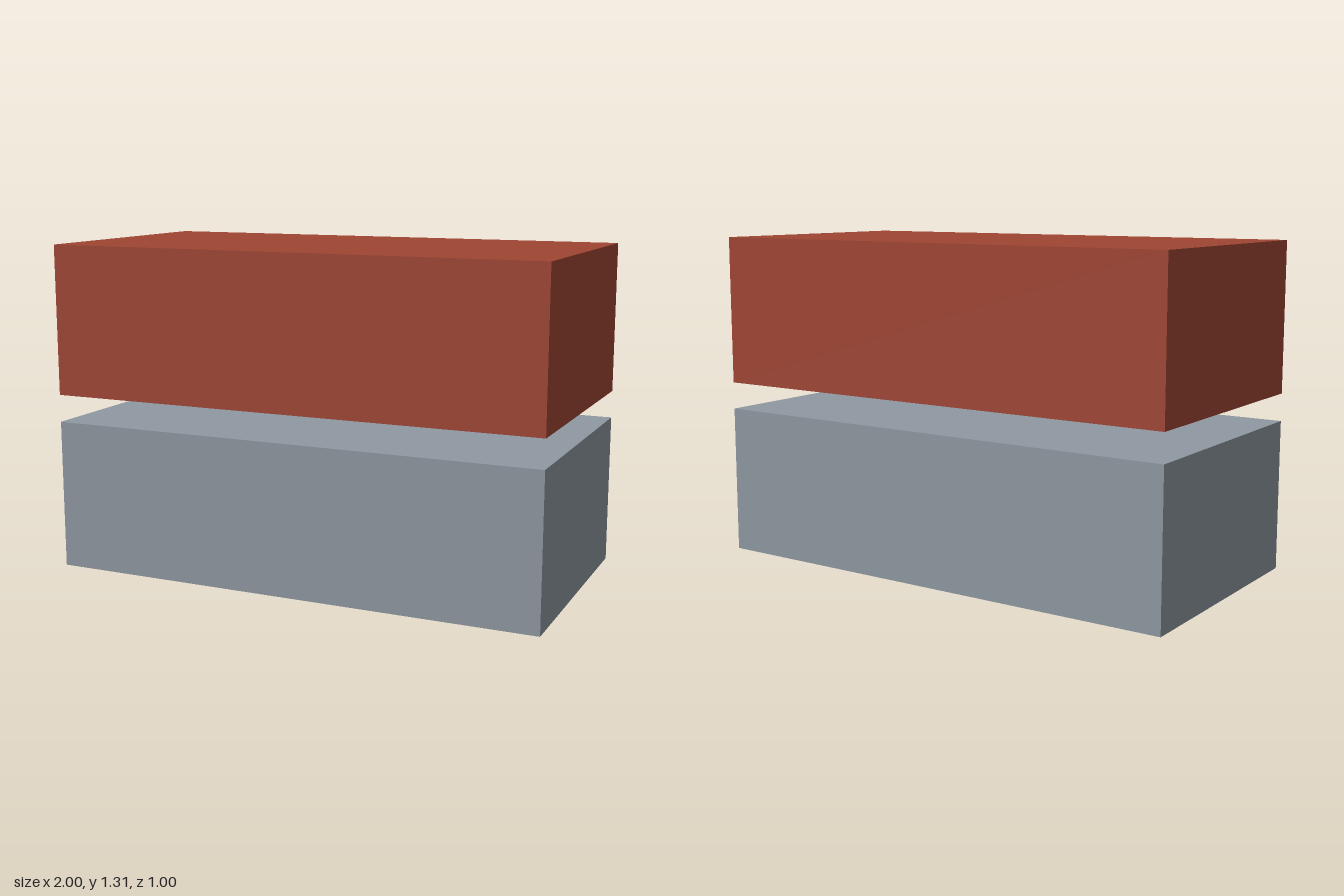
import * as THREE from 'three';
import { mergeGeometries } from 'three/addons/utils/BufferGeometryUtils.js';

const W = 2, H = 0.6, D = 1, T = 0.075; // outer size and wall thickness

// Box standing on y = y0 without its bottom face; inward turns the faces inside
function bottomlessBox(w, h, d, inward) {
  const g = new THREE.BoxGeometry(w, h, d).translate(0, h / 2, 0);
  const index = Array.from(g.index.array);
  index.splice(18, 6); // bottom face
  if (inward) index.reverse();
  g.setIndex(index);
  g.computeVertexNormals();
  return g.toNonIndexed();
}

function rectangle(PathType, w, d) {
  return new PathType([[-1, -1], [1, -1], [1, 1], [-1, 1]]
    .map(([x, y]) => new THREE.Vector2(x * w / 2, y * d / 2)));
}

// Hollow box open underneath: outer skin, cavity and the rim joining them
function shellGeometry() {
  const rim = rectangle(THREE.Shape, W, D);
  rim.holes.push(rectangle(THREE.Path, W - 2 * T, D - 2 * T));
  return mergeGeometries([
    bottomlessBox(W, H, D, false),
    bottomlessBox(W - 2 * T, H - T, D - 2 * T, true),
    new THREE.ShapeGeometry(rim).rotateX(Math.PI / 2).toNonIndexed(),
  ]);
}

export function createModel() {
  const group = new THREE.Group();
  group.name = 'stackedBoxes';
  const grey = new THREE.MeshStandardMaterial({ color: 0x9099a2 });
  grey.name = 'slate grey';
  const red = new THREE.MeshStandardMaterial({ color: 0xa04533 });
  red.name = 'brick red';

  // Lower and upper shells, separated by a gap
  const geometry = shellGeometry();
  for (const [name, material, y] of [['lowerShell', grey, 0], ['upperShell', red, 0.71]]) {
    const shell = new THREE.Mesh(geometry, material);
    shell.name = name;
    shell.position.y = y;
    group.add(shell);
  }
  return group;
}
